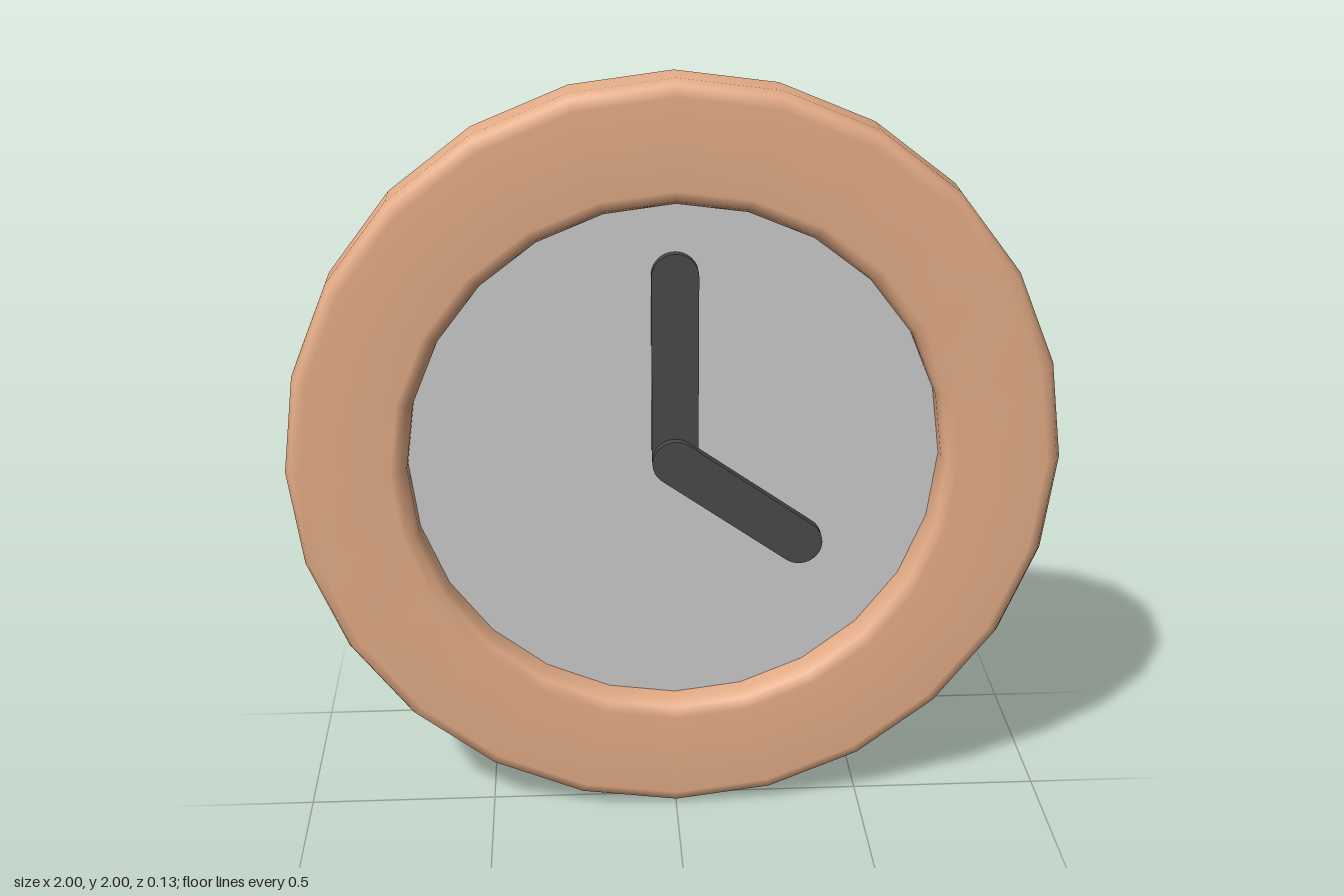
import * as THREE from 'three';

const SIDES = 24;
const FACE_Z = -0.015;

export function createModel() {
  const group = new THREE.Group();
  const wood = new THREE.MeshStandardMaterial({ color: 0xe5ad87, side: THREE.DoubleSide });
  const grey = new THREE.MeshStandardMaterial({ color: 0xcccccc, side: THREE.DoubleSide });
  const dark = new THREE.MeshStandardMaterial({ color: 0x4a4a4a });

  const add = (name, geometry, material, z = 0) => {
    const mesh = new THREE.Mesh(geometry, material);
    mesh.name = name;
    mesh.position.set(0, 1, z);
    group.add(mesh);
    return mesh;
  };

  // Rounded frame: a shell open at the back, profile as [radius, depth]
  const profile = [
    [1, -0.067], [1, 0.03], [0.988, 0.055], [0.96, 0.067],
    [0.73, 0.067], [0.702, 0.055], [0.69, 0.03], [0.69, FACE_Z],
  ].map(([r, z]) => new THREE.Vector2(r, z));
  add('frame', new THREE.LatheGeometry(profile, SIDES).rotateX(Math.PI / 2), wood);

  // Dial plate closing the inner opening
  add('dial', new THREE.CircleGeometry(0.69, SIDES), grey, FACE_Z);

  // Hand: round-ended bar pointing up from the pivot
  const hand = (length, depth, r = 0.06) => {
    const shape = new THREE.Shape();
    shape.absarc(0, length, r, 0, Math.PI);
    shape.absarc(0, 0, r, Math.PI, Math.PI * 2);
    shape.closePath();
    return new THREE.ExtrudeGeometry(shape, { depth, bevelEnabled: false, curveSegments: 10 });
  };

  // The long hand passes through the dial and shows at the back
  add('minuteHand', hand(0.495, 0.04), dark, -0.032);
  const hour = add('hourHand', hand(0.4, 0.03), dark, 0);
  hour.rotation.z = -Math.atan2(0.325, -0.23);

  return group;
}
